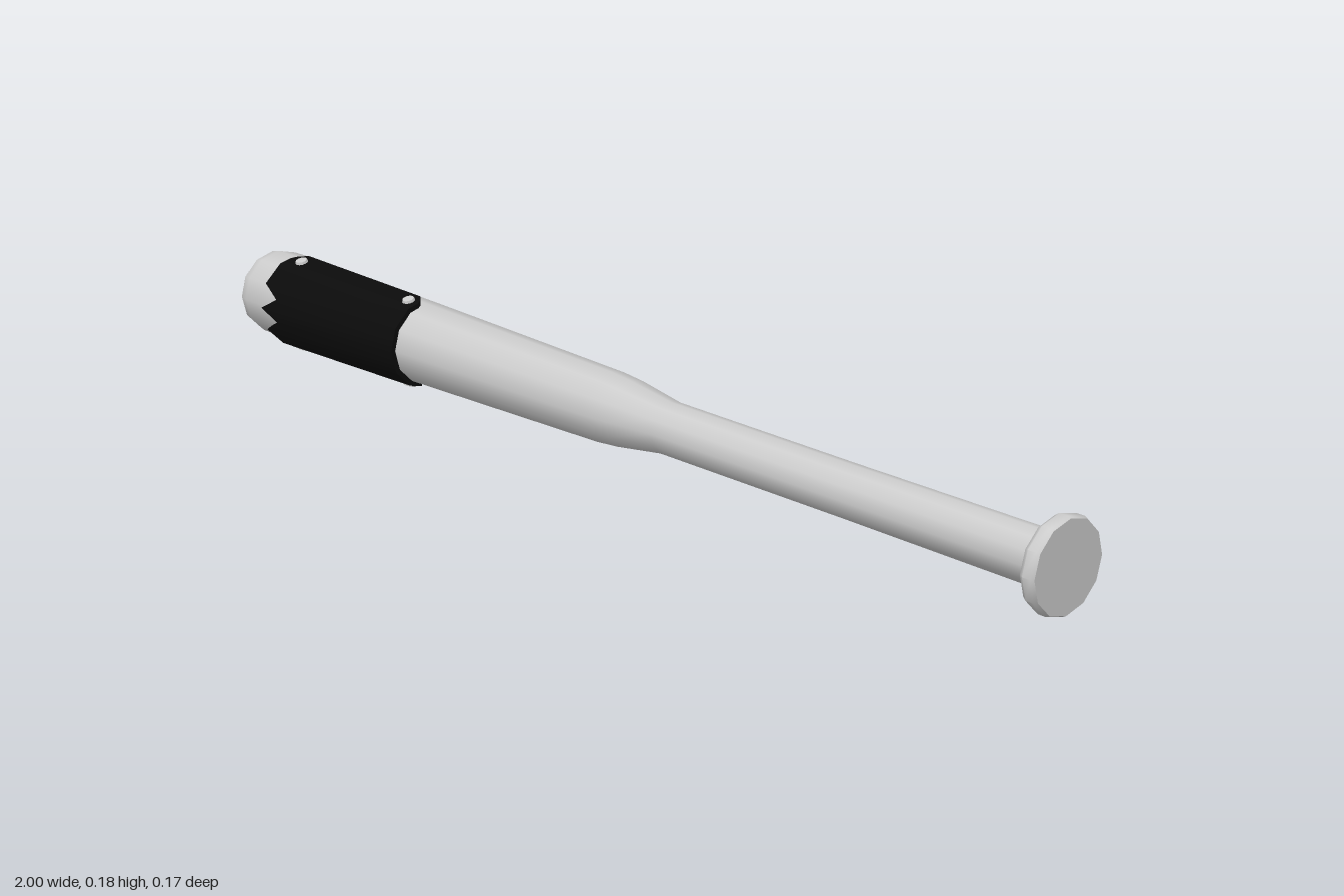
import * as THREE from 'three';
import { toCreasedNormals } from 'three/addons/utils/BufferGeometryUtils.js';

const CY = 0.092, CZ = -0.004;            // centre line of the bat
const SIDES = 12, STEP = 360 / SIDES;
const rad = THREE.MathUtils.degToRad;
const barrelRadius = x => THREE.MathUtils.mapLinear(x, -0.88, -0.52, 0.082, 0.0755);
// distance from the axis to a 12-sided outline at a given angle
const facet = a => Math.cos(rad(STEP / 2)) / Math.cos(rad((((a % STEP) + STEP) % STEP) - STEP / 2));

// Turned solid lying along x; profile is [x, radius] from -x to +x
function turned(name, profile, material) {
  const geo = new THREE.LatheGeometry(profile.map(([x, r]) => new THREE.Vector2(r, x)), SIDES);
  geo.rotateZ(-Math.PI / 2);
  const mesh = new THREE.Mesh(toCreasedNormals(geo, 0.7), material);
  mesh.name = name;
  mesh.position.set(0, CY, CZ);
  return mesh;
}

// Bent plate: columns of [angle, left x, right x] wrapped round the front of the barrel
function plateGeometry(columns, thickness) {
  const pos = [];
  const point = (a, x, t) => {
    const r = (barrelRadius(x) + t) * facet(a);
    return [x, r * Math.sin(rad(a)), r * Math.cos(rad(a))];
  };
  const quad = (a, b, c, d) => pos.push(...a, ...b, ...c, ...a, ...c, ...d);
  const rows = columns.map(([a, l, r]) => [
    point(a, l, thickness), point(a, r, thickness), point(a, r, -0.001), point(a, l, -0.001)]);
  for (let i = 0; i < rows.length - 1; i++) {
    const p = rows[i], q = rows[i + 1];
    for (let k = 0; k < 4; k++) {
      const n = (k + 1) % 4;
      quad(p[k], p[n], q[n], q[k]);
    }
  }
  const first = rows[0], last = rows[rows.length - 1];
  quad(first[3], first[2], first[1], first[0]);
  quad(last[0], last[1], last[2], last[3]);
  const geo = new THREE.BufferGeometry();
  geo.setAttribute('position', new THREE.Float32BufferAttribute(pos, 3));
  return toCreasedNormals(geo, 0.6);
}

export function createModel() {
  const group = new THREE.Group();
  group.name = 'bat';
  const grey = new THREE.MeshStandardMaterial({ color: 0xcccccc });
  const black = new THREE.MeshStandardMaterial({ color: 0x0b0b0b, side: THREE.DoubleSide });

  // Barrel tapering into the handle
  group.add(turned('barrelAndHandle', [
    [-1, 0], [-1, 0.062], [-0.997, 0.07], [-0.988, 0.077], [-0.97, 0.081], [-0.88, 0.082],
    [-0.52, 0.0755], [-0.02, 0.0645], [0.03, 0.0605], [0.13, 0.0465], [0.55, 0.0455], [0.97, 0.0465],
  ], grey));

  // Knob at the end of the handle
  group.add(turned('knob', [
    [0.965, 0.03], [0.965, 0.066], [0.969, 0.076], [0.978, 0.082], [0.994, 0.082], [1, 0.079], [1, 0],
  ], grey));

  // Wrapped plate with a toothed edge and trimmed corners, mirrored top to bottom
  const half = [
    [0, -0.905, -0.52], [15, -0.866, -0.52], [30, -0.905, -0.52],
    [60, -0.902, -0.52], [75, -0.9, -0.52], [82, -0.892, -0.524], [90, -0.872, -0.537],
  ];
  const columns = [...half.slice(1).reverse().map(([a, l, r]) => [-a, l, r]), ...half];
  const plate = new THREE.Mesh(plateGeometry(columns, 0.0095), black);
  plate.name = 'wrappedPlate';
  plate.position.set(0, CY, CZ);
  group.add(plate);

  // Rivets near the four corners of the plate
  const rivetGeo = toCreasedNormals(new THREE.CylinderGeometry(0.011, 0.013, 0.007, 12), 0.7);
  for (const x of [-0.865, -0.545]) {
    for (const a of [75, -75]) {
      const rivet = new THREE.Mesh(rivetGeo, grey);
      const r = (barrelRadius(x) + 0.0095) * facet(a) + 0.001;
      rivet.name = 'rivet';
      rivet.position.set(x, CY + r * Math.sin(rad(a)), CZ + r * Math.cos(rad(a)));
      rivet.rotation.x = rad(90 - a);
      group.add(rivet);
    }
  }
  return group;
}
